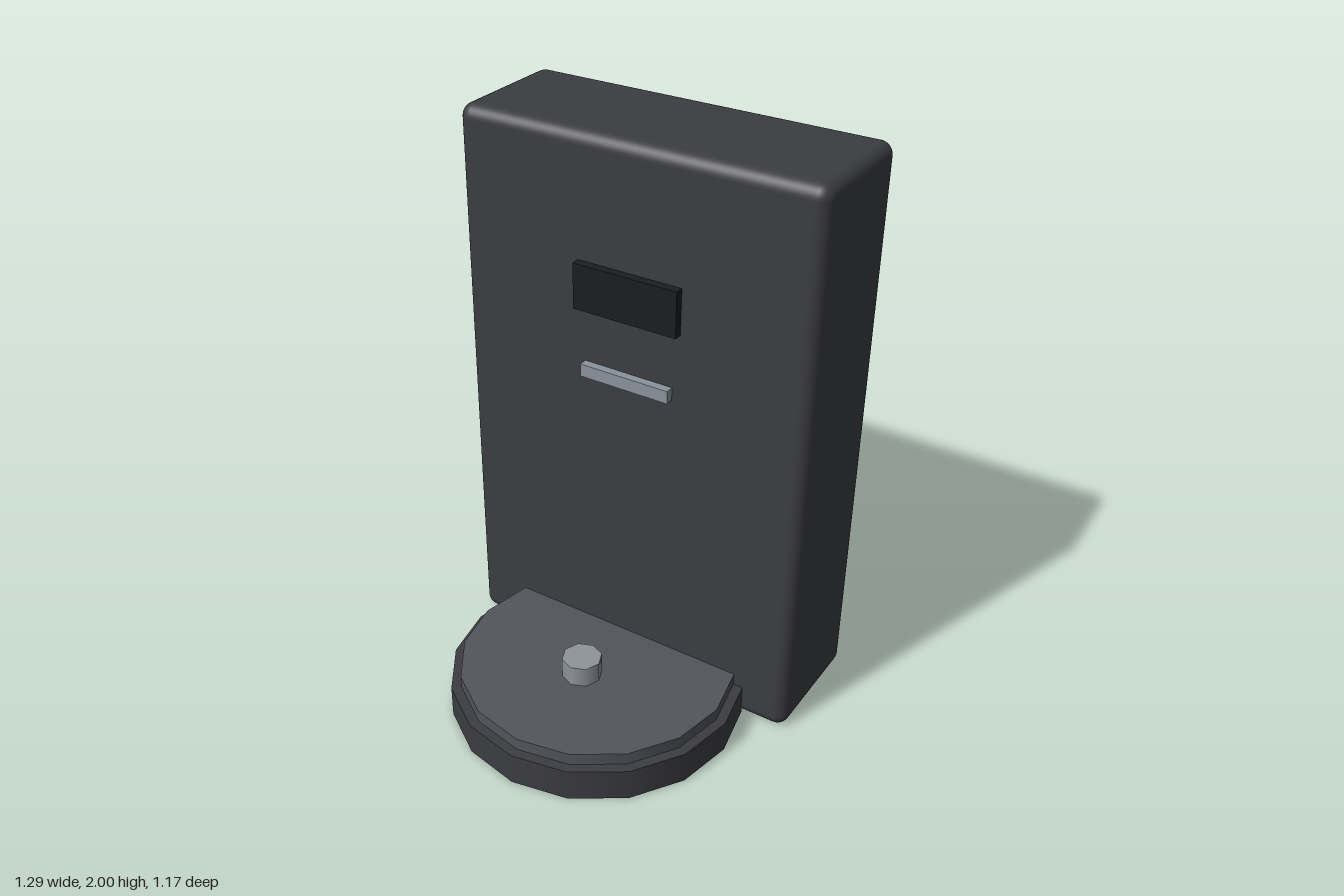
import * as THREE from 'three';
import { RoundedBoxGeometry } from 'three/addons/geometries/RoundedBoxGeometry.js';

export function createModel() {
  const group = new THREE.Group();

  const add = (name, geometry, color, x, y, z) => {
    const mesh = new THREE.Mesh(geometry, new THREE.MeshStandardMaterial({ color }));
    mesh.name = name;
    mesh.position.set(x, y, z);
    group.add(mesh);
  };
  // Upright disc standing on height y
  const disc = (name, radius, height, sides, color, y, z) =>
    add(name, new THREE.CylinderGeometry(radius, radius, height, sides), color, 0, y + height / 2, z);

  // Upright housing with softened edges
  add('housing', new RoundedBoxGeometry(1.29, 2, 0.465, 4, 0.045), 0x3c3d41, 0, 1, -0.3525);

  // Display and light bar, sunk slightly into the housing front
  add('display', new THREE.BoxGeometry(0.38, 0.16, 0.06), 0x1b1d1f, 0, 1.5, -0.12);
  add('lightBar', new THREE.BoxGeometry(0.33, 0.045, 0.06), 0x8a939c, 0, 1.203, -0.12);

  // Round foot with its raised plate and centre pin
  disc('foot', 0.518, 0.12, 16, 0x3c3d41, 0, 0.067);
  disc('plate', 0.483, 0.045, 16, 0x52555d, 0.12, 0.067);
  disc('pin', 0.07, 0.075, 8, 0x8f959c, 0.165, 0.162);

  return group;
}
